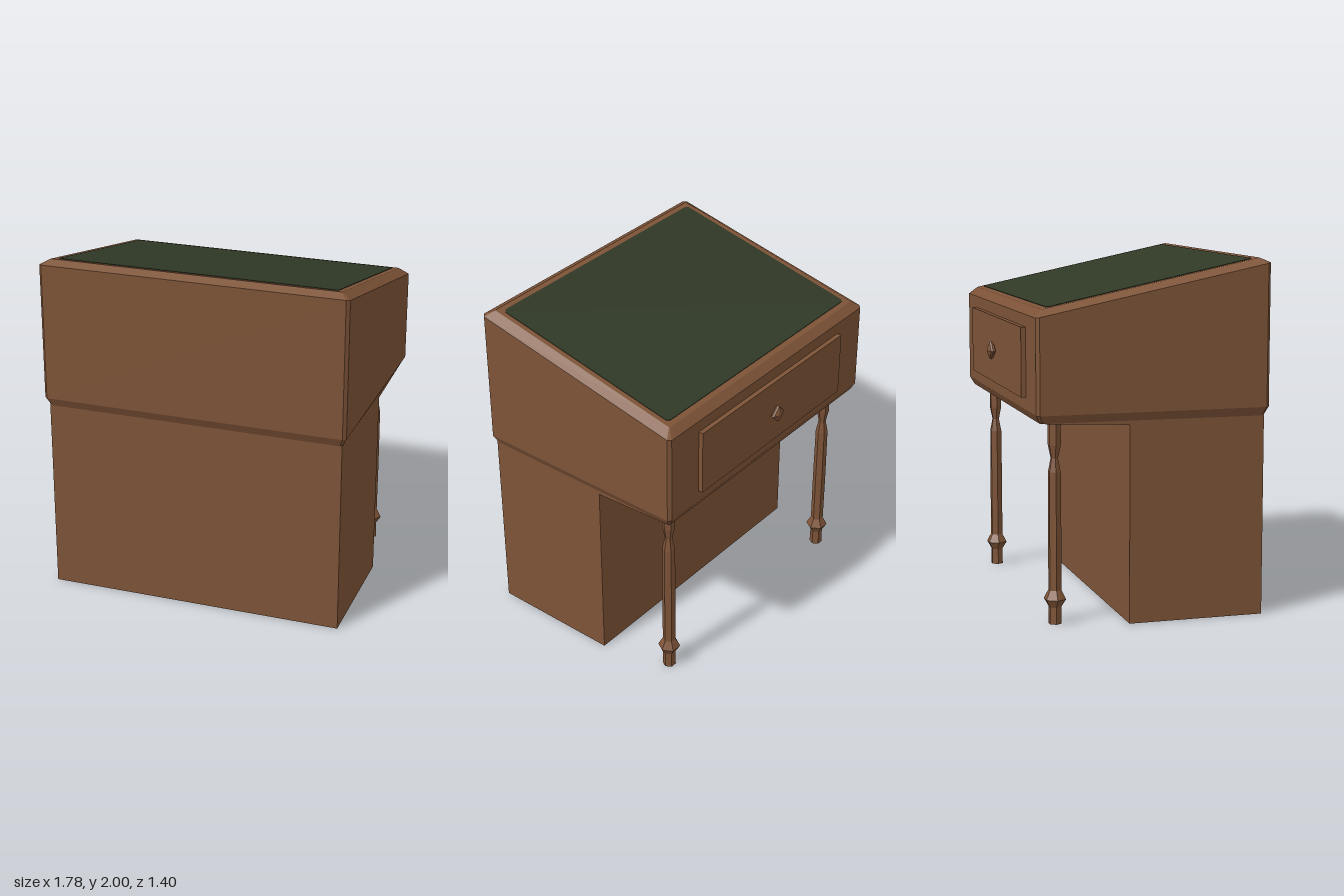
import * as THREE from 'three';

const wood = new THREE.MeshStandardMaterial({ color: 0x7d5337, flatShading: true });
wood.name = 'brown wood';
const leather = new THREE.MeshStandardMaterial({ color: 0x303826, flatShading: true });
leather.name = 'dark green leather';

// Rectangle with cut corners; its height runs from yFront to yBack
function ring(hx, zFront, zBack, cut, yFront, yBack) {
  const corners = [
    [hx, zFront - cut], [hx, zBack + cut], [hx - cut, zBack], [cut - hx, zBack],
    [-hx, zBack + cut], [-hx, zFront - cut], [cut - hx, zFront], [hx - cut, zFront],
  ];
  return corners.map(([x, z]) => {
    const t = (z - zBack) / (zFront - zBack);
    return [x, yBack + t * (yFront - yBack), z];
  });
}

// Closed solid through a stack of rings, bottom to top
function loft(rings) {
  const n = rings[0].length, index = [];
  for (let r = 0; r < rings.length - 1; r++) {
    for (let i = 0; i < n; i++) {
      const a = r * n + i, b = r * n + (i + 1) % n;
      index.push(a, b, b + n, a, b + n, a + n);
    }
  }
  const top = (rings.length - 1) * n;
  for (let i = 1; i < n - 1; i++) {
    index.push(0, i + 1, i, top, top + i, top + i + 1);
  }
  const g = new THREE.BufferGeometry();
  g.setAttribute('position', new THREE.Float32BufferAttribute(rings.flat(2), 3));
  g.setIndex(index);
  const flat = g.toNonIndexed();
  flat.computeVertexNormals();
  return flat;
}

function lathe(profile, sides) {
  return new THREE.LatheGeometry(profile.map(([r, y]) => new THREE.Vector2(r, y)), sides);
}

export function createModel() {
  const group = new THREE.Group();
  const add = (name, geometry, material = wood) => {
    const mesh = new THREE.Mesh(geometry, material);
    mesh.name = name;
    group.add(mesh);
    return mesh;
  };

  // Pedestal with the slanted underside reaching back over the legs
  const side = new THREE.Shape([
    [0.675, 0], [0.675, 1.135], [-0.6, 1.135], [-0.1, 1.11], [-0.1, 0],
  ].map(([z, y]) => new THREE.Vector2(z, y)));
  const pedestal = new THREE.ExtrudeGeometry(side, { depth: 1.73, bevelEnabled: false });
  pedestal.rotateY(-Math.PI / 2).translate(0.865, 0, 0);
  add('pedestal', pedestal);

  // Bevelled desk case with sloping top
  add('deskCase', loft([
    ring(0.865, 0.675, -0.6, 0.012, 1.13, 1.135),
    ring(0.89, 0.7, -0.625, 0.018, 1.18, 1.18),
    ring(0.89, 0.7, -0.625, 0.018, 1.975, 1.703),
    ring(0.835, 0.648, -0.58, 0.003, 2.0, 1.745),
  ]));

  // Writing surface, lying on the slope
  const slopeY = (z) => 1.745 + (z + 0.58) * 0.255 / 1.228;
  const pad = (lift) => ring(0.805, 0.615, -0.547, 0.015, slopeY(0.615) + lift, slopeY(-0.547) + lift);
  add('writingSurface', loft([pad(-0.002), pad(0.003)]), leather);

  // Drawer front and knob
  add('drawerFront', new THREE.BoxGeometry(1.29, 0.385, 0.03)).position.set(0, 1.443, -0.637);
  const knob = add('drawerKnob', lathe([
    [0, -0.022], [0.025, -0.02], [0.047, -0.01], [0.053, 0], [0.047, 0.01], [0.025, 0.02], [0, 0.022],
  ], 4));
  knob.rotation.x = -Math.PI / 2;
  knob.position.set(0, 1.44, -0.676);

  // Turned legs
  for (const s of [1, -1]) {
    const leg = add(s > 0 ? 'leftLeg' : 'rightLeg', lathe([
      [0, 0], [0.038, 0], [0.036, 0.095], [0.064, 0.14], [0.037, 0.19], [0.038, 0.5],
      [0.036, 0.85], [0.021, 0.925], [0.037, 1.0], [0.037, 1.14], [0, 1.14],
    ], 6));
    leg.rotation.y = Math.PI / 6;
    leg.position.set(s * 0.74, 0, -0.492);
  }
  return group;
}
